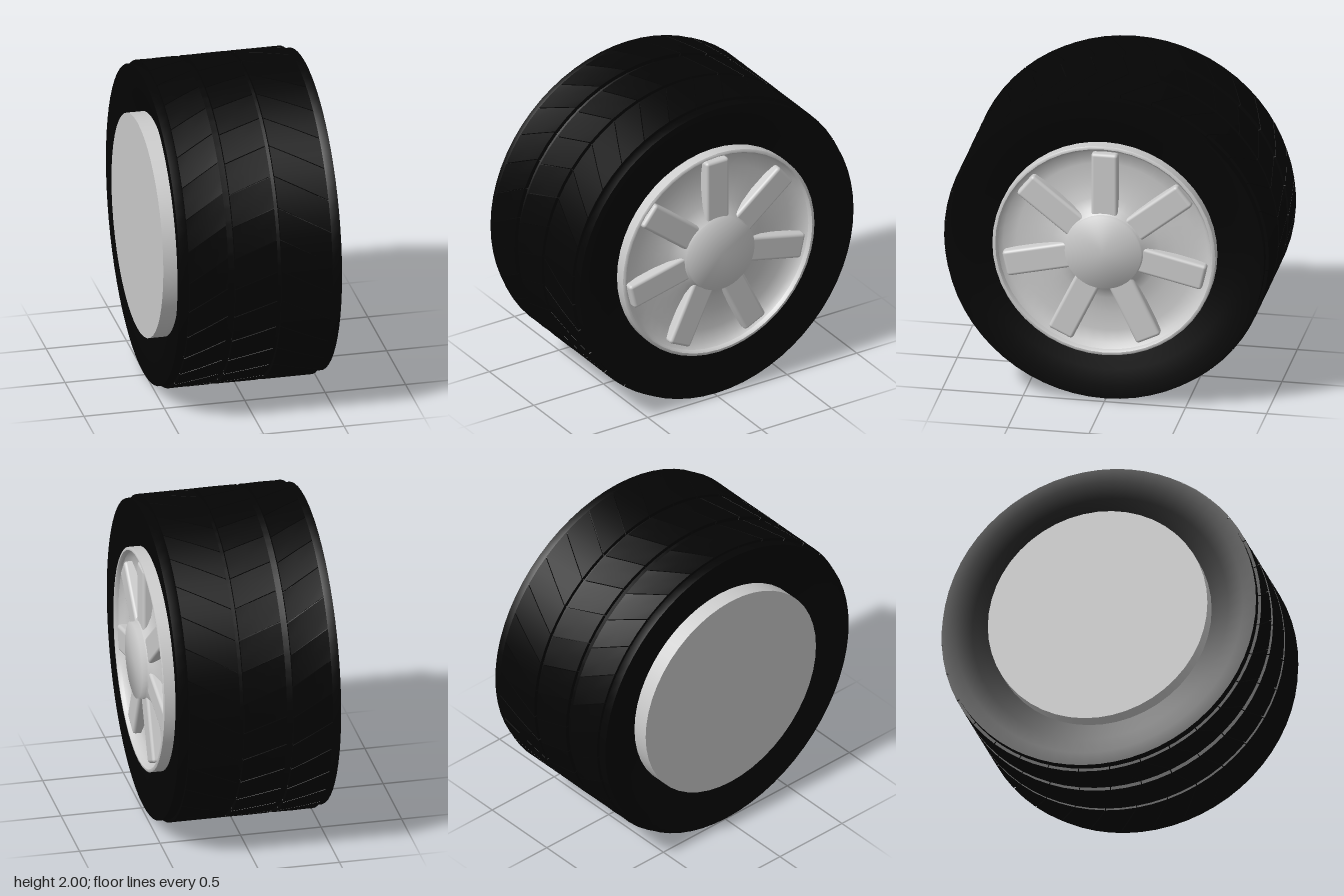
import * as THREE from 'three';
import { toCreasedNormals } from 'three/addons/utils/BufferGeometryUtils.js';
import { RoundedBoxGeometry } from 'three/addons/geometries/RoundedBoxGeometry.js';

const metal = new THREE.MeshStandardMaterial({ color: 0xcccccc });
const rubber = new THREE.MeshStandardMaterial({ color: 0x040404 });

// Profile of [radius, x] points turned around the x axis
function turned(name, profile, material, segments, crease) {
  const points = profile.map(([r, x]) => new THREE.Vector2(r, x));
  let geometry = new THREE.LatheGeometry(points, segments);
  geometry.rotateZ(-Math.PI / 2);
  if (crease) geometry = toCreasedNormals(geometry, crease);
  const mesh = new THREE.Mesh(geometry, material);
  mesh.name = name;
  return mesh;
}

// Slanted tread block: a box wrapped around the axle
function treadBlock(x0, x1, arc, skew) {
  const geometry = new THREE.BoxGeometry(1, 1, 1, 2, 1, 2);
  const p = geometry.attributes.position;
  for (let i = 0; i < p.count; i++) {
    const t = p.getX(i) + 0.5;
    const r = p.getY(i) > 0 ? 1 : 0.95;
    const a = -p.getZ(i) * arc + t * skew;
    p.setXYZ(i, x0 + (x1 - x0) * t, r * Math.sin(a), r * Math.cos(a));
  }
  geometry.computeVertexNormals();
  return geometry;
}

export function createModel() {
  const wheel = new THREE.Group();
  wheel.name = 'wheel';
  const assembly = new THREE.Group();
  assembly.name = 'wheelAssembly';
  assembly.position.y = 1;
  wheel.add(assembly);

  // Tyre carcass: square shoulders, sidewalls sinking towards the rim
  assembly.add(turned('tyre', [
    [0.68, -0.445], [0.8, -0.485], [0.9, -0.512], [0.982, -0.515], [0.982, -0.45],
    [0.976, -0.44], [0.976, 0.42], [0.982, 0.43], [0.982, 0.492],
    [0.9, 0.489], [0.8, 0.47], [0.68, 0.445],
  ], rubber, 64, 0.6));

  // Three bands of angled tread blocks
  const count = 32;
  const step = (Math.PI * 2) / count;
  const bands = [
    { x0: -0.46, x1: -0.217, start: 0.15, skew: 0.14 },
    { x0: -0.175, x1: 0.09, start: 0.08, skew: 0.09 },
    { x0: 0.115, x1: 0.43, start: 0.17, skew: -0.18 },
  ];
  const tread = new THREE.Group();
  tread.name = 'tread';
  for (const { x0, x1, start, skew } of bands) {
    const geometry = treadBlock(x0, x1, step - 0.006, skew);
    for (let i = 0; i < count; i++) {
      const block = new THREE.Mesh(geometry, rubber);
      block.name = 'treadBlock';
      block.rotation.x = -(start + i * step);
      tread.add(block);
    }
  }
  assembly.add(tread);

  // Rim with a flat closed back and a rounded front lip
  assembly.add(turned('rim', [
    [0, -0.55], [0.687, -0.55], [0.687, 0.515],
    [0.68, 0.52], [0.668, 0.52], [0.657, 0.505], [0.65, 0.44],
  ], metal, 48, 0.7));

  // Shallow wheel disc, flaring up to the hub
  assembly.add(turned('wheelDisc', [
    [0.66, 0.5], [0.63, 0.46], [0.55, 0.445], [0.43, 0.445],
    [0.33, 0.46], [0.27, 0.485], [0.23, 0.52],
  ], metal, 48));

  // Flat-ended hub, softly shaded
  assembly.add(turned('hub', [[0.235, 0.42], [0.235, 0.55], [0, 0.55]], metal, 36));

  // Seven spokes
  const spokeGeometry = new RoundedBoxGeometry(0.12, 0.46, 0.163, 3, 0.02);
  spokeGeometry.translate(0.45, 0.4, 0);
  for (let i = 0; i < 7; i++) {
    const spoke = new THREE.Mesh(spokeGeometry, metal);
    spoke.name = 'spoke';
    spoke.rotation.x = (i * Math.PI * 2) / 7;
    assembly.add(spoke);
  }
  return wheel;
}
